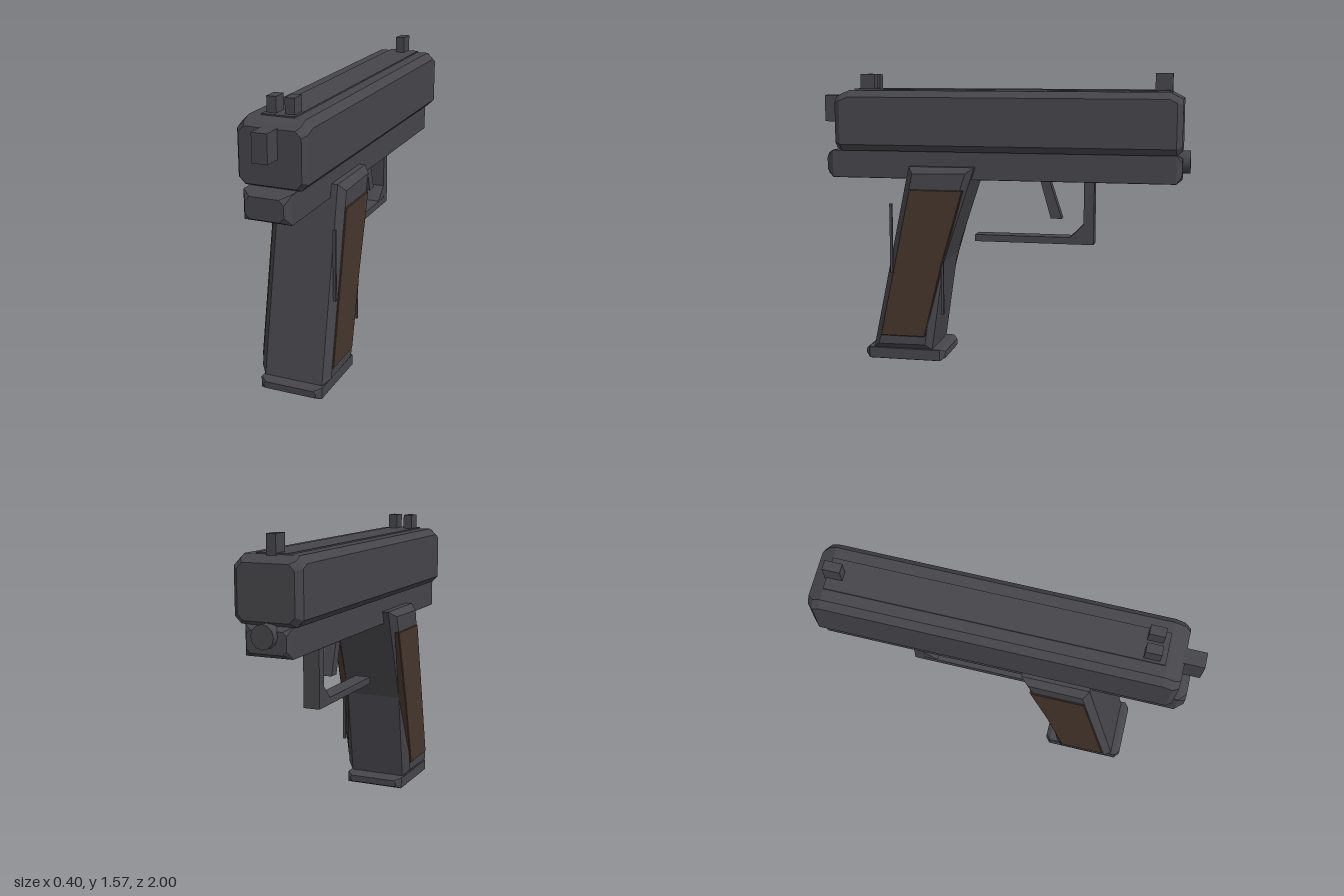
import * as THREE from 'three';

const gunmetal = new THREE.MeshStandardMaterial({ color: 0x46454a });
gunmetal.name = 'gunmetal';
const wood = new THREE.MeshStandardMaterial({ color: 0x46362d });
wood.name = 'darkWood';

function add(group, name, geometry, material = gunmetal) {
  const mesh = new THREE.Mesh(geometry, material);
  mesh.name = name;
  group.add(mesh);
  return mesh;
}

// Box given by its limits on each axis
function box(x0, x1, y0, y1, z0, z1) {
  return new THREE.BoxGeometry(x1 - x0, y1 - y0, z1 - z0)
    .translate((x0 + x1) / 2, (y0 + y1) / 2, (z0 + z1) / 2);
}

// Side profile of [z, y] points, extruded across x with an optional chamfer
function sidePlate(points, x0, x1, chamfer = 0) {
  const shape = new THREE.Shape(points.map(([z, y]) => new THREE.Vector2(z, y)));
  const geometry = new THREE.ExtrudeGeometry(shape, {
    depth: x1 - x0 - 2 * chamfer,
    bevelEnabled: chamfer > 0,
    bevelThickness: chamfer,
    bevelSize: chamfer,
    bevelOffset: -chamfer,
    bevelSegments: 1,
  });
  return geometry.rotateY(-Math.PI / 2).translate(x1 - chamfer, 0, 0);
}

// Loft through chamfered rectangles [z, halfWidth, bottom, top, chamfer], ordered from -z to +z
function loft(sections) {
  const rings = sections.map(([z, w, b, t, c]) => [
    [w, b + c], [w, t - c], [w - c, t], [c - w, t],
    [-w, t - c], [-w, b + c], [c - w, b], [w - c, b],
  ].map(([x, y]) => [x, y, z]));
  const positions = [];
  const triangle = (...corners) => corners.forEach((p) => positions.push(...p));
  for (let s = 0; s < rings.length - 1; s++) {
    for (let i = 0; i < 8; i++) {
      const j = (i + 1) % 8;
      const a = rings[s][i], b = rings[s][j], c = rings[s + 1][j], d = rings[s + 1][i];
      triangle(a, b, c);
      triangle(a, c, d);
    }
  }
  const first = rings[0], last = rings[rings.length - 1];
  for (let i = 1; i < 7; i++) {
    triangle(first[0], first[i + 1], first[i]);
    triangle(last[0], last[i], last[i + 1]);
  }
  const geometry = new THREE.BufferGeometry();
  geometry.setAttribute('position', new THREE.Float32BufferAttribute(positions, 3));
  geometry.computeVertexNormals();
  return geometry;
}

export function createModel() {
  const model = new THREE.Group();
  model.name = 'model';

  // Upper slide, sloping down at both ends, with a raised top rib
  add(model, 'slide', loft([
    [-0.96, 0.15, 1.17, 1.44, 0.03],
    [-0.93, 0.18, 1.15, 1.455, 0.035],
    [-0.89, 0.18, 1.15, 1.475, 0.035],
    [0.82, 0.18, 1.15, 1.475, 0.035],
    [0.87, 0.18, 1.15, 1.455, 0.035],
    [0.9, 0.16, 1.165, 1.44, 0.03],
  ]));
  add(model, 'topRib', box(-0.085, 0.085, 1.46, 1.482, -0.89, 0.81));

  // Lower frame with chamfered ends
  add(model, 'frame', loft([
    [-0.96, 0.105, 1.02, 1.13, 0.02],
    [-0.93, 0.125, 1.0, 1.15, 0.002],
    [0.93, 0.125, 1.0, 1.15, 0.002],
    [0.97, 0.1, 1.02, 1.13, 0.025],
  ]));

  // Short round tip and rear block
  add(model, 'frontTip', new THREE.CylinderGeometry(0.06, 0.06, 0.08, 12)
    .rotateX(Math.PI / 2).translate(0, 1.107, -0.96));
  add(model, 'rearBlock', box(-0.04, 0.04, 1.3, 1.445, 0.86, 1.0));

  // Sights
  add(model, 'frontSight', box(-0.025, 0.025, 1.46, 1.57, -0.9, -0.81));
  add(model, 'rearSightLeft', box(0.022, 0.072, 1.46, 1.56, 0.7, 0.78));
  add(model, 'rearSightRight', box(-0.072, -0.022, 1.46, 1.56, 0.7, 0.78));

  // Raked grip with wooden side panels
  add(model, 'grip', sidePlate(
    [[0.7, 0.06], [0.49, 1.07], [0.13, 1.07], [0.3, 0.55], [0.37, 0.06]], -0.194, 0.194, 0.035));
  const panel = [[0.65, 0.14], [0.48, 0.95], [0.185, 0.95], [0.3, 0.55], [0.4, 0.14]];
  add(model, 'leftPanel', sidePlate(panel, 0.15, 0.201, 0.004), wood);
  add(model, 'rightPanel', sidePlate(panel, -0.201, -0.15, 0.004), wood);

  // Base plate under the grip
  add(model, 'basePlate', loft([
    [0.3, 0.145, 0.012, 0.048, 0.012],
    [0.325, 0.17, 0, 0.062, 0.002],
    [0.725, 0.17, 0, 0.062, 0.002],
    [0.75, 0.145, 0.012, 0.048, 0.012],
  ]));

  // Thin upright strips at the grip edges
  add(model, 'rearStrip', box(0.175, 0.19, 0.49, 0.87, 0.578, 0.592));
  add(model, 'frontStrip', box(0.175, 0.19, 0.27, 0.65, 0.294, 0.308));

  // Trigger and its guard
  add(model, 'trigger', sidePlate(
    [[-0.2, 1.02], [-0.25, 1.02], [-0.325, 0.79], [-0.265, 0.79]], -0.03, 0.03));
  add(model, 'guardPost', box(-0.045, 0.045, 0.655, 1.02, -0.5, -0.445));
  add(model, 'guardBar', box(-0.045, 0.045, 0.655, 0.692, -0.46, 0.15));
  add(model, 'guardCorner', sidePlate(
    [[-0.37, 0.69], [-0.45, 0.77], [-0.48, 0.73], [-0.44, 0.67]], -0.044, 0.044));

  return model;
}
